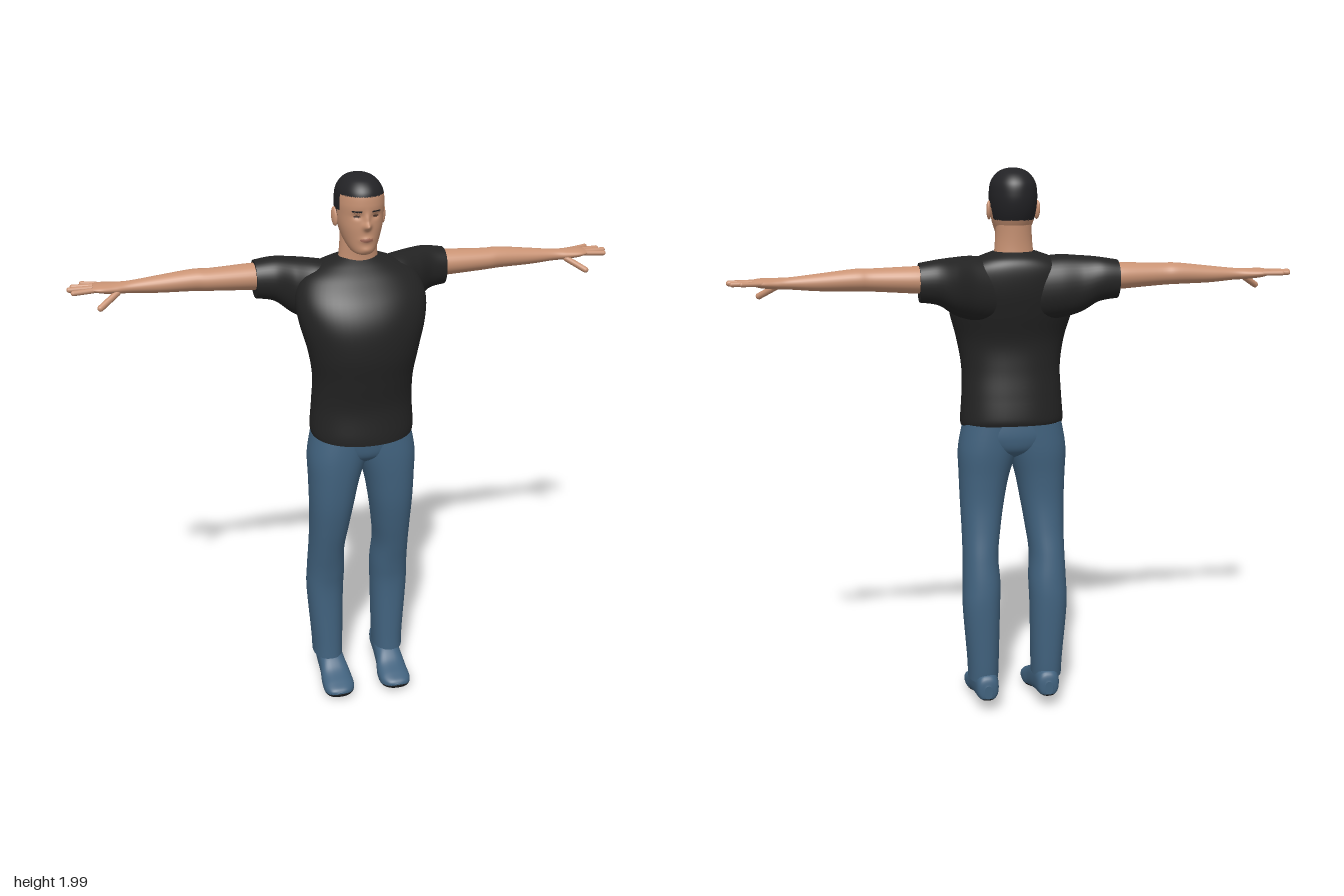
import * as THREE from 'three';

const mat = (name, color) => Object.assign(new THREE.MeshStandardMaterial({ color }), { name });

// Catmull-Rom blend of neighbouring cross-sections
function sample(rows, s) {
  const n = rows.length - 1, i = Math.min(Math.floor(s * n), n - 1), f = s * n - i;
  const [a, b, c, d] = [-1, 0, 1, 2].map(k => rows[Math.max(0, Math.min(n, i + k))]);
  return b.map((_, k) => b[k] + 0.5 * f * (c[k] - a[k] +
    f * (2 * a[k] - 5 * b[k] + 4 * c[k] - d[k] + f * (3 * (b[k] - c[k]) + d[k] - a[k]))));
}

// Closed loft along an axis; each row is [t, uMin, uMax, vMin, vMax],
// where (u, v, t) is (z, x, y), (y, z, x) or (x, y, z)
function loft(axis, rows, { p = 2, seg = 40, rings = 48, warp } = {}) {
  const pos = [], idx = [];
  const add = (u, v, t) => {
    const q = axis === 'y' ? new THREE.Vector3(v, t, u)
      : axis === 'x' ? new THREE.Vector3(t, u, v) : new THREE.Vector3(u, v, t);
    if (warp) warp(q);
    pos.push(q.x, q.y, q.z);
    return pos.length / 3 - 1;
  };
  const pow = c => Math.sign(c) * Math.abs(c) ** (2 / p);
  const ring = s => {
    const [t, u0, u1, v0, v1] = sample(rows, s);
    const first = pos.length / 3;
    for (let j = 0; j < seg; j++) {
      const a = j / seg * Math.PI * 2;
      add((u0 + u1) / 2 + (u1 - u0) / 2 * pow(Math.cos(a)),
        (v0 + v1) / 2 + (v1 - v0) / 2 * pow(Math.sin(a)), t);
    }
    return first;
  };
  for (let i = 0; i <= rings; i++) ring(i / rings);
  for (let i = 0; i < rings; i++) for (let j = 0; j < seg; j++) {
    const a = i * seg + j, b = i * seg + (j + 1) % seg;
    idx.push(a, b, b + seg, a, b + seg, a + seg);
  }
  // separate end caps keep a crisp rim
  for (const s of [0, 1]) {
    const f = ring(s), [t, u0, u1, v0, v1] = sample(rows, s);
    const c = add((u0 + u1) / 2, (v0 + v1) / 2, t);
    for (let j = 0; j < seg; j++) {
      const a = f + j, b = f + (j + 1) % seg;
      if (s) idx.push(c, a, b); else idx.push(c, b, a);
    }
  }
  const g = new THREE.BufferGeometry();
  g.setAttribute('position', new THREE.Float32BufferAttribute(pos, 3));
  g.setIndex(idx);
  g.computeVertexNormals();
  return g;
}

// Sort faces into material groups by the position of their centre
function paint(g, count, pick) {
  const lists = Array.from({ length: count }, () => []);
  const P = g.attributes.position, I = g.index.array, c = new THREE.Vector3(), v = new THREE.Vector3();
  for (let i = 0; i < I.length; i += 3) {
    c.set(0, 0, 0);
    for (let k = 0; k < 3; k++) c.addScaledVector(v.fromBufferAttribute(P, I[i + k]), 1 / 3);
    lists[pick(c)].push(I[i], I[i + 1], I[i + 2]);
  }
  g.setIndex(lists.flat());
  let start = 0;
  lists.forEach((l, m) => { g.addGroup(start, l.length, m); start += l.length; });
  return g;
}

// Mirror a geometry in x and reverse its corners
function mirrored(geo) {
  const g = geo.clone(), P = g.attributes.position, N = g.attributes.normal, I = g.index.array;
  for (let i = 0; i < P.count; i++) { P.setX(i, -P.getX(i)); N.setX(i, -N.getX(i)); }
  for (let i = 0; i < I.length; i += 3) [I[i + 1], I[i + 2]] = [I[i + 2], I[i + 1]];
  return g;
}

function finger(from, to, r) {
  const a = new THREE.Vector3(...from), b = new THREE.Vector3(...to), d = b.clone().sub(a);
  const g = new THREE.CapsuleGeometry(r, d.length() - r, 6, 12);
  const q = new THREE.Quaternion().setFromUnitVectors(new THREE.Vector3(0, 1, 0), d.normalize());
  g.applyQuaternion(q);
  const m = a.add(b).multiplyScalar(0.5);
  return g.translate(m.x, m.y, m.z);
}

export function createModel() {
  const model = new THREE.Group();
  model.name = 'standingMan';
  const skin = mat('skin', 0xc99374), hair = mat('hair', 0x232326), shirt = mat('shirt', 0x232323);
  const denim = mat('denim', 0x41627e), sole = mat('sole', 0x1d1e20);
  const lip = mat('lips', 0xa86e5c), eye = mat('eyes', 0x4a352c);
  const put = (name, g, m) => {
    const mesh = new THREE.Mesh(g, m);
    mesh.name = name;
    model.add(mesh);
  };
  const pair = (name, g, m) => { put(name + 'Left', g, m); put(name + 'Right', mirrored(g), m); };

  // Shirt body, with the hem lifted at the back
  put('shirtBody', loft('y', [
    [1.07, -0.115, 0.16, -0.185, 0.185], [1.1, -0.118, 0.16, -0.188, 0.188],
    [1.2, -0.108, 0.155, -0.182, 0.182], [1.3, -0.095, 0.172, -0.18, 0.18],
    [1.4, -0.092, 0.19, -0.196, 0.196], [1.5, -0.118, 0.187, -0.222, 0.222],
    [1.58, -0.135, 0.157, -0.23, 0.23], [1.65, -0.138, 0.1, -0.205, 0.205],
    [1.69, -0.125, 0.058, -0.145, 0.145], [1.715, -0.09, 0.025, -0.08, 0.08],
  ], {
    p: 2.15, seg: 56, rings: 60,
    warp: q => { if (q.y < 1.2) q.y += (0.16 - q.z) * 0.12 * (1.2 - q.y) / 0.13; },
  }), shirt);
  pair('sleeve', loft('x', [
    [0.06, 1.47, 1.69, -0.12, 0.05], [0.15, 1.48, 1.703, -0.15, 0.045],
    [0.22, 1.505, 1.703, -0.183, 0.0], [0.28, 1.545, 1.7, -0.195, -0.05],
    [0.345, 1.557, 1.69, -0.192, -0.068],
  ], { p: 2.2 }), shirt);

  // Arms and hands
  pair('arm', loft('x', [
    [0.3, 1.585, 1.68, -0.18, -0.078], [0.36, 1.588, 1.68, -0.183, -0.077],
    [0.5, 1.597, 1.675, -0.17, -0.08], [0.56, 1.6, 1.675, -0.172, -0.085],
    [0.68, 1.603, 1.662, -0.163, -0.095], [0.77, 1.61, 1.652, -0.155, -0.1],
    [0.82, 1.612, 1.65, -0.163, -0.092], [0.87, 1.618, 1.65, -0.177, -0.085],
    [0.898, 1.626, 1.646, -0.172, -0.092],
  ], { seg: 32 }), skin);
  [
    ['littleFinger', [0.865, 1.635, -0.167], [0.935, 1.637, -0.19], 0.008],
    ['ringFinger', [0.875, 1.635, -0.15], [0.968, 1.635, -0.16], 0.009],
    ['middleFinger', [0.875, 1.635, -0.129], [0.98, 1.635, -0.127], 0.0095],
    ['indexFinger', [0.87, 1.635, -0.106], [0.968, 1.632, -0.093], 0.009],
    ['thumb', [0.815, 1.622, -0.105], [0.885, 1.58, -0.06], 0.011],
  ].forEach(([name, a, b, r]) => pair(name, finger(a, b, r), skin));

  // Neck and head, with the face shaped by soft bumps
  put('neck', loft('y', [
    [1.66, -0.085, 0.03, -0.075, 0.075], [1.72, -0.082, 0.035, -0.068, 0.068],
    [1.77, -0.084, 0.042, -0.064, 0.064], [1.83, -0.09, 0.04, -0.062, 0.062],
  ], { rings: 16 }), skin);
  const bump = (q, x, y, w, h, d) =>
    d * Math.exp(-(((Math.abs(q.x) - x) / w) ** 2) - ((q.y - y) / h) ** 2);
  const head = loft('y', [
    [1.737, 0.02, 0.07, -0.02, 0.02], [1.744, -0.01, 0.083, -0.036, 0.036],
    [1.76, -0.04, 0.088, -0.049, 0.049], [1.79, -0.075, 0.091, -0.063, 0.063],
    [1.83, -0.1, 0.095, -0.075, 0.075], [1.87, -0.115, 0.096, -0.081, 0.081],
    [1.91, -0.12, 0.101, -0.083, 0.083], [1.95, -0.114, 0.096, -0.077, 0.077],
    [1.98, -0.088, 0.07, -0.057, 0.057], [1.995, -0.052, 0.033, -0.031, 0.031],
    [2.0, -0.012, -0.006, -0.003, 0.003],
  ], {
    seg: 128, rings: 110, p: 2.1,
    warp: q => {
      if (q.z > 0.03) q.z += bump(q, 0, 1.84, 0.012, 0.012, 0.022) + bump(q, 0, 1.862, 0.009, 0.02, 0.01)
        + bump(q, 0.032, 1.873, 0.014, 0.01, -0.007) + bump(q, 0, 1.793, 0.02, 0.01, 0.006)
        + bump(q, 0, 1.757, 0.02, 0.01, 0.004);
    },
  });
  // Hairline, eyes, brows and lips
  const region = c => {
    const x = Math.abs(c.x), z = c.z;
    const line = z > 0.03 ? 1.938 : z > 0.005 ? 1.885 : z > -0.03 ? 1.865 : 1.825;
    if (c.y > line) return 1;
    if (z < 0.04) return 0;
    if (((x - 0.032) / 0.012) ** 2 + ((c.y - 1.872) / 0.004) ** 2 < 1) return 2;
    if (Math.abs(x - 0.033) < 0.016 && Math.abs(c.y - 1.889) < 0.0025) return 1;
    if ((x / 0.023) ** 2 + ((c.y - 1.792) / 0.007) ** 2 < 1) return 3;
    return 0;
  };
  put('head', paint(head, 4, region), [skin, hair, eye, lip]);
  const ear = new THREE.SphereGeometry(1, 20, 14).scale(0.009, 0.033, 0.018);
  pair('ear', ear.rotateX(-0.15).rotateY(-0.25).translate(0.085, 1.856, -0.012), skin);

  // Trousers
  put('trouserSeat', loft('y', [
    [0.965, -0.03, 0.06, -0.05, 0.05], [1.0, -0.085, 0.11, -0.12, 0.12],
    [1.05, -0.102, 0.124, -0.18, 0.18], [1.11, -0.1, 0.125, -0.178, 0.178],
  ], { rings: 24, p: 2.3 }), denim);
  pair('trouserLeg', loft('y', [
    [0.125, -0.12, 0.035, 0.065, 0.177], [0.2, -0.125, 0.032, 0.063, 0.18],
    [0.4, -0.13, 0.03, 0.058, 0.195], [0.5, -0.125, 0.042, 0.055, 0.193],
    [0.6, -0.11, 0.065, 0.06, 0.19], [0.7, -0.092, 0.09, 0.048, 0.19],
    [0.8, -0.082, 0.11, 0.032, 0.193], [0.9, -0.085, 0.12, 0.012, 0.196],
    [1.0, -0.095, 0.124, -0.02, 0.198], [1.1, -0.098, 0.12, -0.05, 0.18],
  ], { p: 2.25 }), denim);

  // Shoes, toes pointing slightly down, with dark soles
  const shoe = loft('z', [
    [-0.142, 0.1, 0.13, 0.068, 0.12], [-0.125, 0.075, 0.155, 0.056, 0.155],
    [-0.05, 0.068, 0.162, 0.04, 0.16], [0.02, 0.062, 0.165, 0.023, 0.132],
    [0.07, 0.053, 0.17, 0.008, 0.095], [0.12, 0.055, 0.17, 0.013, 0.074],
    [0.15, 0.075, 0.155, 0.024, 0.06], [0.16, 0.1, 0.13, 0.036, 0.048],
  ], { p: 2.5 });
  const underside = c => +(c.y < 0.024 + Math.max(0, 0.08 - c.z) * 0.2 + Math.max(0, c.z - 0.08) * 0.22);
  pair('shoe', paint(shoe, 2, underside), [denim, sole]);
  return model;
}
